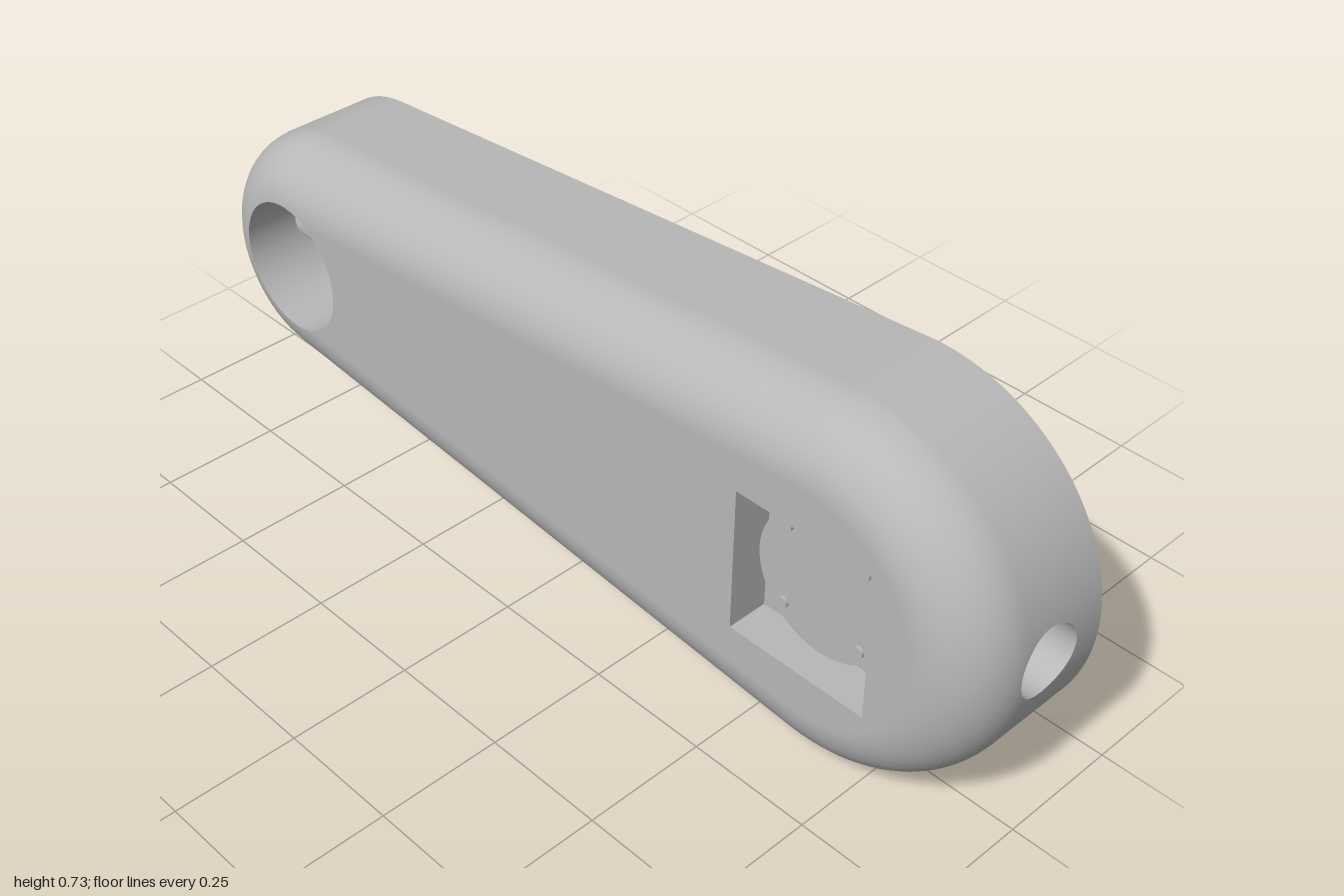
import * as THREE from 'three';

const CY = 0.366, BIG = { z: 0.634, r: 0.366 }, SMALL = { z: -0.75, r: 0.25 };
const X1 = 0.16, X0 = -0.16, FILLET = 0.13;            // flat side, rounded side
const BORE_R = 0.14, BORE_FLOOR = 0.1, DUCT_R = 0.07, DUCT_X = 0.028;
const POCKET = 0.15, POCKET_FLOOR = -0.074, MOTOR_R = 0.145;

// Tapered outline: arc centre z, radius and normal angle (0 = +z)
function outline() {
  const len = BIG.z - SMALL.z, a = Math.acos((SMALL.r - BIG.r) / len), pts = [];
  const span = (n, c0, c1, a0, a1) => {
    for (let i = 0; i < n; i++) {
      const t = i / n;
      pts.push({ z: c0.z + (c1.z - c0.z) * t, r: c0.r + (c1.r - c0.r) * t, a: a0 + (a1 - a0) * t });
    }
  };
  span(72, BIG, BIG, -a, a);
  span(40, BIG, SMALL, a, a);
  span(64, SMALL, SMALL, a, 2 * Math.PI - a);
  span(40, SMALL, BIG, -a, -a);
  return pts;
}

// Signed distance to the outer body, negative inside
function bodyDistance([x, y, z]) {
  const h = BIG.z - SMALL.z, b = (BIG.r - SMALL.r) / h, a = Math.sqrt(1 - b * b);
  const px = Math.abs(y - CY), py = BIG.z - z, k = -b * px + a * py;
  const d = k < 0 ? Math.hypot(px, py) - BIG.r
    : k > a * h ? Math.hypot(px, py - h) - SMALL.r : a * px + b * py - BIG.r;
  const u = d + FILLET, v = X0 + FILLET - x;
  return Math.max(x - X1 - 1e-4, u > 0 && v > 0 ? Math.hypot(u, v) - FILLET : Math.max(u, v) - FILLET);
}
const boreDistance = ([x, y, z]) => Math.max(Math.hypot(y - CY, z - SMALL.z) - BORE_R, x - BORE_FLOOR);
const ductDistance = ([x, y]) => Math.hypot(x - DUCT_X, y - CY) - DUCT_R;

// Triangles from a grid; fn gives [position, normal] as six numbers
function gridTris(nu, nv, fn) {
  const tris = [];
  const add = (a, b, c) => {
    const e = (p) => new THREE.Vector3(p[0] - a[0], p[1] - a[1], p[2] - a[2]);
    const n = e(b).cross(e(c));
    if (n.length() < 1e-9) return;
    const s = n.dot(new THREE.Vector3(a[3] + b[3] + c[3], a[4] + b[4] + c[4], a[5] + b[5] + c[5]));
    tris.push(s > 0 ? [a, b, c] : [a, c, b]);
  };
  for (let i = 0; i < nu; i++) for (let j = 0; j < nv; j++) {
    const a = fn(i, j), b = fn(i + 1, j), c = fn(i + 1, j + 1), d = fn(i, j + 1);
    add(a, b, c);
    add(a, c, d);
  }
  return tris;
}

// Keep the part of the triangles where f > 0
function carve(tris, f) {
  const out = [], mix = (a, b, t) => a.map((v, i) => v + (b[i] - v) * t);
  for (const tri of tris) {
    const val = tri.map(f), poly = [];
    tri.forEach((p, i) => {
      const j = (i + 1) % 3, q = tri[j];
      if (val[i] > 0) poly.push(p);
      if ((val[i] > 0) !== (val[j] > 0)) {
        let lo = 0, hi = 1;
        for (let k = 0; k < 16; k++) {
          const m = (lo + hi) / 2;
          if ((f(mix(p, q, m)) > 0) === (val[i] > 0)) lo = m; else hi = m;
        }
        poly.push(mix(p, q, lo));
      }
    });
    for (let i = 2; i < poly.length; i++) out.push([poly[0], poly[i - 1], poly[i]]);
  }
  return out;
}

function toGeometry(tris) {
  const v = tris.flat(), g = new THREE.BufferGeometry();
  g.setAttribute('position', new THREE.Float32BufferAttribute(v.flatMap((p) => p.slice(0, 3)), 3));
  g.setAttribute('normal', new THREE.Float32BufferAttribute(v.flatMap((p) => p.slice(3)), 3));
  return g;
}

// Flat shapes use (-z, y) and are turned to face +x
const circle = (z, r, y = 0, Type = THREE.Path) => new Type().absarc(-z, CY + y, r, 0, Math.PI * 2);

export function createModel() {
  const group = new THREE.Group();
  const grey = new THREE.MeshStandardMaterial({ color: 0xb8b8b8, side: THREE.DoubleSide });
  grey.name = 'grey';
  const add = (name, geo) => {
    const m = new THREE.Mesh(geo, grey);
    m.name = name;
    group.add(m);
    return m;
  };
  const plate = (name, shape, x, depth = 0) => {
    const g = depth
      ? new THREE.ExtrudeGeometry(shape, { depth, bevelEnabled: false, curveSegments: 24 })
      : new THREE.ShapeGeometry(shape, 40);
    return add(name, g.rotateY(Math.PI / 2).translate(x, 0, 0));
  };
  const rod = (name, r, xa, xb, z, y = 0, open = false) =>
    add(name, new THREE.CylinderGeometry(r, r, xb - xa, r > 0.05 ? 64 : 24, 1, open)
      .rotateZ(-Math.PI / 2).translate((xa + xb) / 2, CY + y, z));

  // Outer shell: side wall, fillet and rounded-side face in one skin
  const pts = outline(), prof = [];
  for (let i = 0; i <= 10; i++) prof.push([X1 + (X0 + FILLET - X1) * i / 10, 0, 1, 0]);
  for (let i = 1; i <= 12; i++) {
    const a = i / 12 * Math.PI / 2;
    prof.push([X0 + FILLET - FILLET * Math.sin(a), FILLET * (1 - Math.cos(a)), 1, a]);
  }
  for (let i = 1; i <= 10; i++) prof.push([X0, FILLET, 1 - i / 10, Math.PI / 2]);
  let skin = gridTris(pts.length, prof.length - 1, (i, j) => {
    const p = pts[i % pts.length], [x, off, k, a] = prof[j];
    const c = Math.cos(p.a), s = Math.sin(p.a), r = (p.r - off) * k;
    return [x, CY + r * s, p.z + r * c, -Math.sin(a), Math.cos(a) * s, Math.cos(a) * c];
  });
  skin = carve(carve(skin, boreDistance), ductDistance);
  const beside = (p) => Math.abs(p[2] - BIG.z) - POCKET;
  const above = (p) => Math.abs(p[1] - CY) - POCKET;
  skin = [...carve(skin, beside), ...carve(carve(skin, (p) => -beside(p)), above)];
  add('shell', toGeometry(skin));

  // Flat side with its openings
  const bolts = [[0.097, 0], [-0.097, 0], [0, 0.097], [0, -0.097]];
  const mountHoles = () => [circle(SMALL.z, 0.064),
    ...bolts.map(([z, y]) => circle(SMALL.z + z, 0.021, y))];
  const face = new THREE.Shape(pts.map((p) =>
    new THREE.Vector2(-(p.z + p.r * Math.cos(p.a)), CY + p.r * Math.sin(p.a))));
  face.holes.push(circle(BIG.z, 0.083), ...mountHoles());
  plate('flatFace', face, X1);

  // Bore at the small end, with its floor and mounting holes
  const bore = gridTris(96, 16, (i, j) => {
    const a = i / 96 * Math.PI * 2, c = Math.cos(a), s = Math.sin(a);
    return [X0 + (BORE_FLOOR - X0) * j / 16, CY + BORE_R * s, SMALL.z + BORE_R * c, 0, s, c];
  });
  add('boreWall', toGeometry(carve(carve(bore, (p) => -bodyDistance(p) + 1e-4), ductDistance)));
  const floor = circle(SMALL.z, BORE_R, 0, THREE.Shape);
  floor.holes.push(...mountHoles());
  plate('boreFloor', floor, BORE_FLOOR);
  rod('shaftHole', 0.064, BORE_FLOOR, X1, SMALL.z, 0, true);
  for (const [z, y] of bolts) rod('boltHole', 0.021, BORE_FLOOR, X1, SMALL.z + z, y, true);

  // Cable duct running lengthwise from end to end
  const duct = gridTris(64, 80, (i, j) => {
    const a = i / 64 * Math.PI * 2, c = Math.cos(a), s = Math.sin(a);
    return [DUCT_X + DUCT_R * c, CY + DUCT_R * s, -1.02 + 2.04 * j / 80, c, s, 0];
  });
  const outsideMotor = (p) => Math.hypot(p[1] - CY, p[2] - BIG.z) - MOTOR_R;
  add('cableDuct', toGeometry(carve(carve(carve(duct, (p) => -bodyDistance(p)), boreDistance), outsideMotor)));

  // Square pocket, open on the rounded side
  const box = new THREE.BoxGeometry(POCKET_FLOOR - X0, POCKET * 2, POCKET * 2);
  const idx = Array.from(box.index.array);
  idx.splice(6, 6);
  box.setIndex(idx);
  box.clearGroups();
  add('motorPocket', box.translate((X0 + POCKET_FLOOR) / 2, CY, BIG.z));

  // Motor with four screws
  rod('motor', MOTOR_R, -0.1, 0.12, BIG.z);
  for (const z of [-1, 1]) for (const y of [-1, 1])
    rod('motorScrew', 0.012, -0.106, -0.09, BIG.z + z * 0.085, y * 0.085);

  // Output horn in a round recess on the flat side
  rod('hornRecess', 0.083, 0.12, X1, BIG.z, 0, true);
  const horn = circle(BIG.z, 0.082, 0, THREE.Shape);
  for (let i = 0; i < 6; i++) {
    const a = i * Math.PI / 3;
    horn.holes.push(circle(BIG.z + 0.063 * Math.cos(a), 0.009, 0.063 * Math.sin(a)));
  }
  plate('outputHorn', horn, 0.12, 0.02);
  rod('hornHub', 0.042, 0.13, 0.15, BIG.z);
  return group;
}
